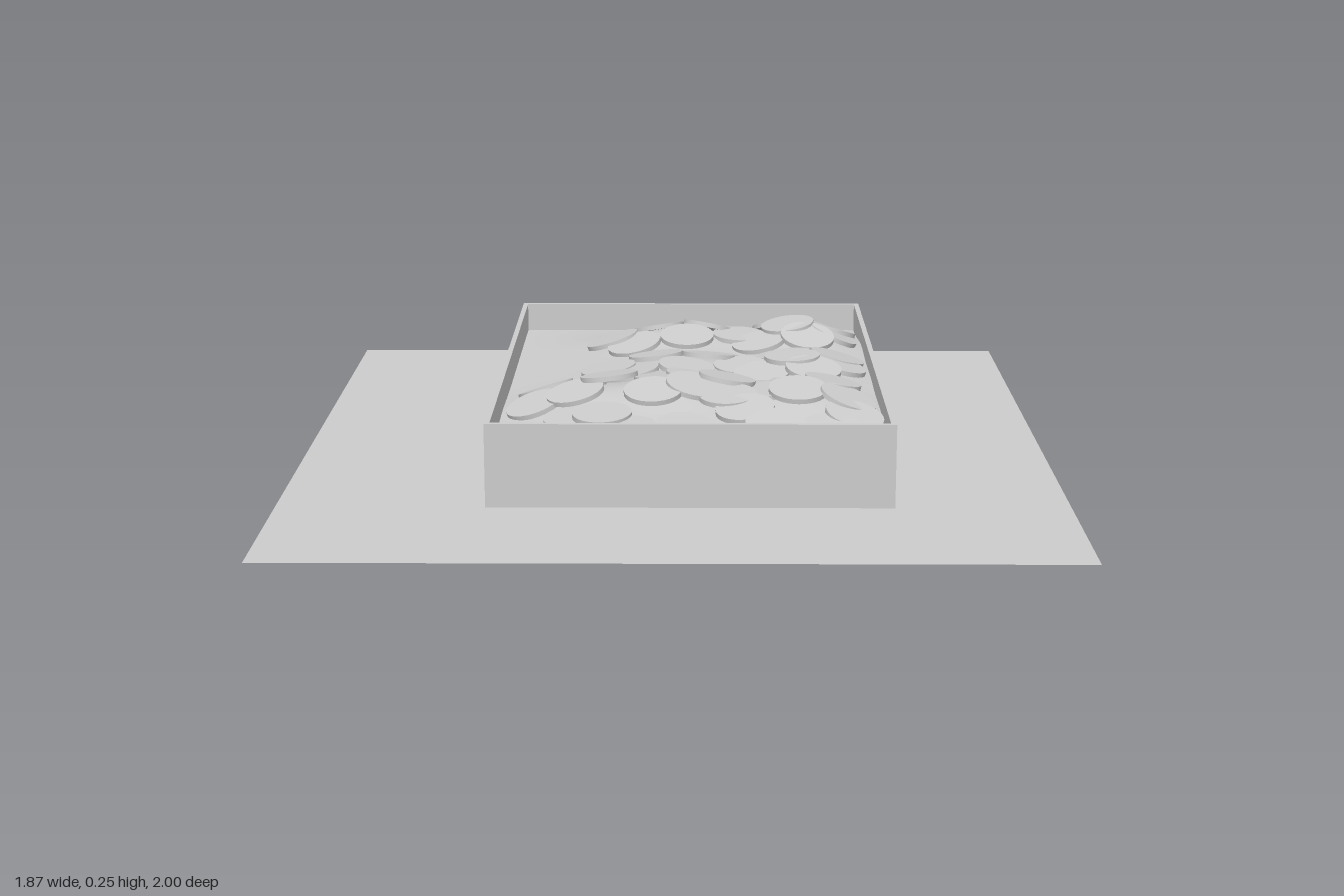
import * as THREE from 'three';

const CX = 0.04; // the tray sits slightly off centre
const TRAY = { w: 0.95, d: 1.31, wall: 0.013, y0: 0.02, y1: 0.22 };

// Small mounds in the filling: x, z, height
const MOUNDS = [
  [0.01, -0.31, 0.05], [0.33, -0.31, 0.05],
  [0.01, 0.01, 0.04], [0.33, 0.01, 0.04],
  [0.0, 0.3, 0.045], [0.31, 0.34, 0.045], [-0.24, 0.28, 0.035],
];

// Coin centres: x, z, lift above the filling
const CLUSTER = [[-0.05, -0.4], [0.09, -0.39], [-0.17, -0.3], [0.17, -0.3], [-0.11, -0.22], [0.03, -0.22],
  [0.28, -0.4], [0.42, -0.39], [0.3, -0.3], [0.42, -0.3], [0.22, -0.22], [0.35, -0.22]];
const FRONT_ROWS = [[-0.11, 0.55], [0.03, 0.55], [0.24, 0.55], [0.37, 0.55], [-0.17, 0.47], [0.17, 0.46],
  [0.43, 0.47], [-0.05, 0.37], [0.13, 0.38], [0.3, 0.37], [0.42, 0.38]];
const LOOSE = [[-0.32, 0.19], [-0.24, 0.19], [-0.34, 0.33], [-0.24, 0.33], [-0.24, 0.45], [-0.03, 0.19],
  [0.05, 0.19], [0.23, 0.19], [0.31, 0.19], [0.05, 0.33], [0.22, 0.33]];
const UPPER = [[-0.16, 0.26], [0.13, 0.26], [0.39, 0.26]];

function fillHeight(x, z) {
  // low at the back and left, fuller under the coins
  const s = THREE.MathUtils.smoothstep;
  const inner = s(x, -0.45, -0.1) * s(z, -0.66, -0.35) * (1 - 0.4 * s(z, 0.45, 0.66)) * (1 - 0.4 * s(x, 0.38, 0.52));
  let y = 0.145 + 0.03 * inner;
  for (const [mx, mz, h] of MOUNDS) y += h * Math.exp(-((x - mx) ** 2 + (z - mz) ** 2) / 0.02);
  return y;
}

function fillNormal(x, z) {
  const e = 0.03;
  return new THREE.Vector3(
    (fillHeight(x - e, z) - fillHeight(x + e, z)) / (2 * e), 1,
    (fillHeight(x, z - e) - fillHeight(x, z + e)) / (2 * e)).normalize();
}

export function createModel() {
  const group = new THREE.Group();
  const mat = new THREE.MeshStandardMaterial({ color: 0xcccccc });
  const sheet = new THREE.MeshStandardMaterial({ color: 0xcccccc, side: THREE.DoubleSide });
  const add = (name, geo, material, x, y, z, parent = group) => {
    const mesh = new THREE.Mesh(geo, material);
    mesh.name = name;
    mesh.position.set(x, y, z);
    parent.add(mesh);
    return mesh;
  };

  // Ground sheet
  add('groundSheet', new THREE.PlaneGeometry(1.87, 2).rotateX(-Math.PI / 2), sheet, 0, 0, 0);

  // Tray walls: a rectangular ring extruded upwards
  const { w, d, wall, y0, y1 } = TRAY;
  const rect = (Type, a, b) => new Type([[-a, -b], [a, -b], [a, b], [-a, b]].map(p => new THREE.Vector2(...p)));
  const ring = rect(THREE.Shape, w / 2, d / 2);
  ring.holes.push(rect(THREE.Path, w / 2 - wall, d / 2 - wall));
  const walls = new THREE.ExtrudeGeometry(ring, { depth: y1 - y0, bevelEnabled: false }).rotateX(-Math.PI / 2);
  add('trayWalls', walls, mat, CX, y0, 0);
  add('trayFloor', new THREE.BoxGeometry(w - 2 * wall, 0.015, d - 2 * wall), mat, CX, y0 + 0.0075, 0);

  // Uneven filling inside the tray
  const fill = new THREE.PlaneGeometry(w - 2 * wall, d - 2 * wall, 48, 64).rotateX(-Math.PI / 2);
  const pos = fill.attributes.position;
  for (let i = 0; i < pos.count; i++) pos.setY(i, fillHeight(pos.getX(i) + CX, pos.getZ(i)));
  fill.computeVertexNormals();
  add('filling', fill, sheet, CX, 0, 0);

  // Coins resting on the mounds
  const coins = new THREE.Group();
  coins.name = 'coins';
  group.add(coins);
  const coinGeo = new THREE.CylinderGeometry(0.071, 0.071, 0.012, 32);
  const up = new THREE.Vector3(0, 1, 0);
  let n = 0;
  const scatter = (list, lift, dz = 0) => {
    for (const [x, z0] of list) {
      const z = z0 + dz;
      const normal = fillNormal(x, z);
      normal.x += 0.06 * Math.sin(n * 2.3); // slight wobble
      normal.z += 0.06 * Math.cos(n * 1.7);
      const y = fillHeight(x, z) + lift + 0.004 * (n % 3);
      const coin = add('coin', coinGeo, mat, x, y, z, coins);
      coin.quaternion.setFromUnitVectors(up, normal.normalize());
      n++;
    }
  };
  scatter(CLUSTER, 0.006);
  scatter(CLUSTER, 0.006, 0.325);
  scatter(FRONT_ROWS, 0.012);
  scatter(LOOSE, 0.006);
  scatter(UPPER, 0.022);

  return group;
}
